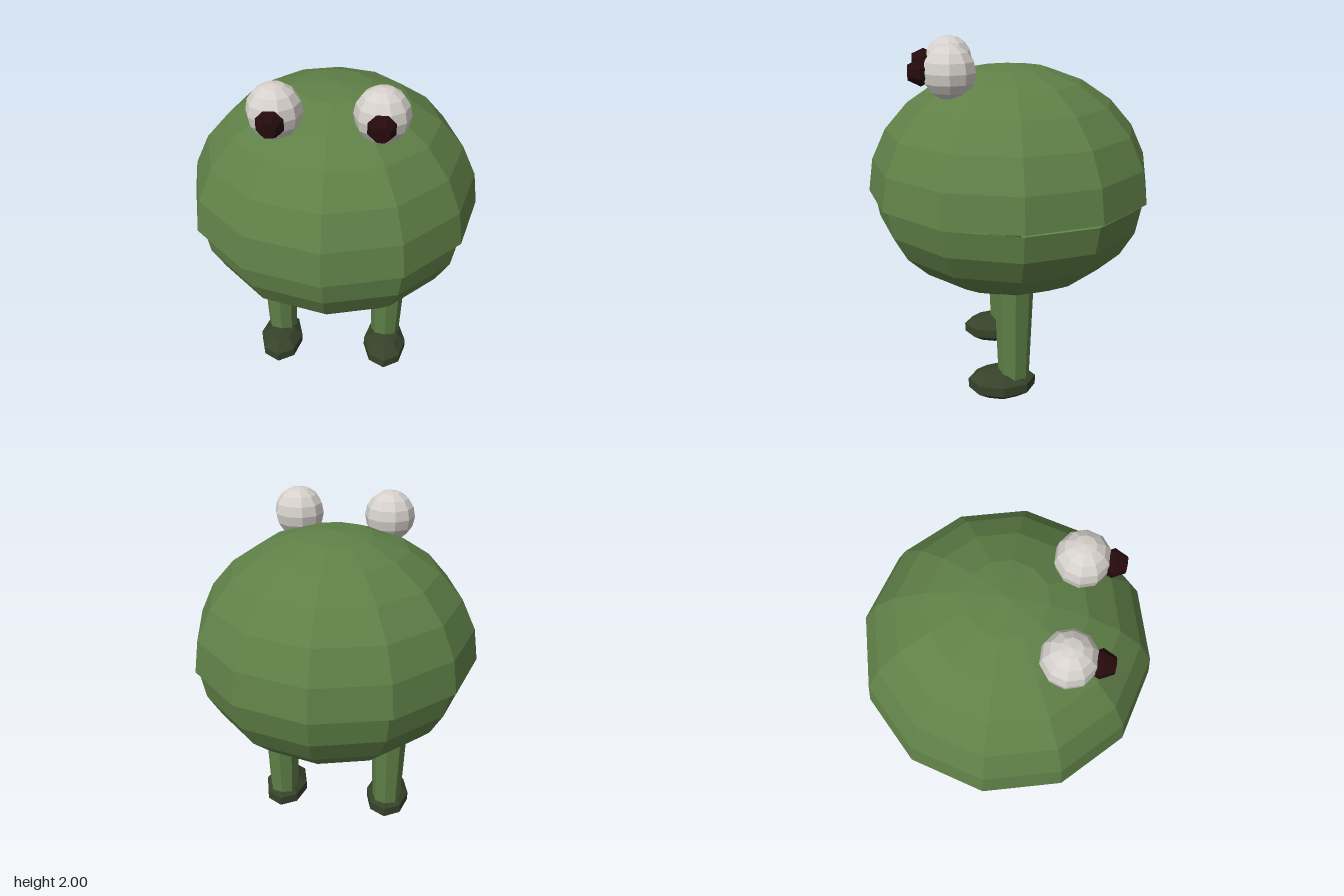
import * as THREE from 'three';

export function createModel() {
  const model = new THREE.Group();
  const material = (name, color, side = THREE.FrontSide) => {
    const m = new THREE.MeshStandardMaterial({ color, side, flatShading: true });
    m.name = name;
    return m;
  };
  const skin = material('green skin', 0x5f8047, THREE.DoubleSide);
  const footGreen = material('dark green', 0x36422a);
  const eyeWhite = material('eye white', 0xd6d1cc);
  const pupilDark = material('pupil dark', 0x260a0d);
  const pink = material('tongue pink', 0xc2337d);

  const add = (name, geometry, mat, x, y, z) => {
    const mesh = new THREE.Mesh(geometry, mat);
    mesh.name = name;
    mesh.position.set(x, y, z);
    model.add(mesh);
    return mesh;
  };

  // Hollow upper head and lower jaw, open towards each other at the mouth
  const dome = new THREE.SphereGeometry(1, 12, 6, 0, Math.PI * 2, 0, Math.PI / 2);
  add('upperHead', dome, skin, 0, 1.17, 0).scale.set(0.8, 0.7, 0.8);
  const bowl = new THREE.SphereGeometry(1, 12, 6, 0, Math.PI * 2, Math.PI / 2, Math.PI / 2);
  const jaw = add('lowerJaw', bowl, skin, 0.007, 1.16, 0);
  jaw.scale.set(0.772, 0.575, 0.772);
  jaw.rotation.set(-0.01, 0, -0.007);

  // Tongue lying in the mouth
  const tongue = add('tongue', new THREE.SphereGeometry(1, 12, 6), pink, -0.02, 1.145, 0.12);
  tongue.scale.set(0.42, 0.033, 0.48);
  tongue.rotation.set(-0.02, 0, -0.01);

  // Shared geometry for the mirrored parts
  const eyeball = new THREE.SphereGeometry(0.14, 10, 8);
  const pupilProfile = [[0, -0.06], [0.04, -0.06], [0.072, 0], [0.04, 0.065], [0, 0.065]]
    .map(([r, y]) => new THREE.Vector2(r, y));
  const pupil = new THREE.LatheGeometry(pupilProfile, 8).rotateY(Math.PI / 8).rotateX(Math.PI / 2);
  const leg = new THREE.CylinderGeometry(0.113, 0.088, 0.66, 8);
  const foot = new THREE.SphereGeometry(1, 8, 5);

  for (const side of [1, -1]) {
    const prefix = side > 0 ? 'left' : 'right';
    add(prefix + 'Eye', eyeball, eyeWhite, side * 0.258, 1.86, 0.33);
    add(prefix + 'Pupil', pupil, pupilDark, side * 0.258, 1.86, 0.475);
    add(prefix + 'Leg', leg, skin, side * 0.333, 0.45, 0.008);
    add(prefix + 'Foot', foot, footGreen, side * 0.333, 0.09, 0.077).scale.set(0.139, 0.09, 0.203);
  }
  return model;
}
